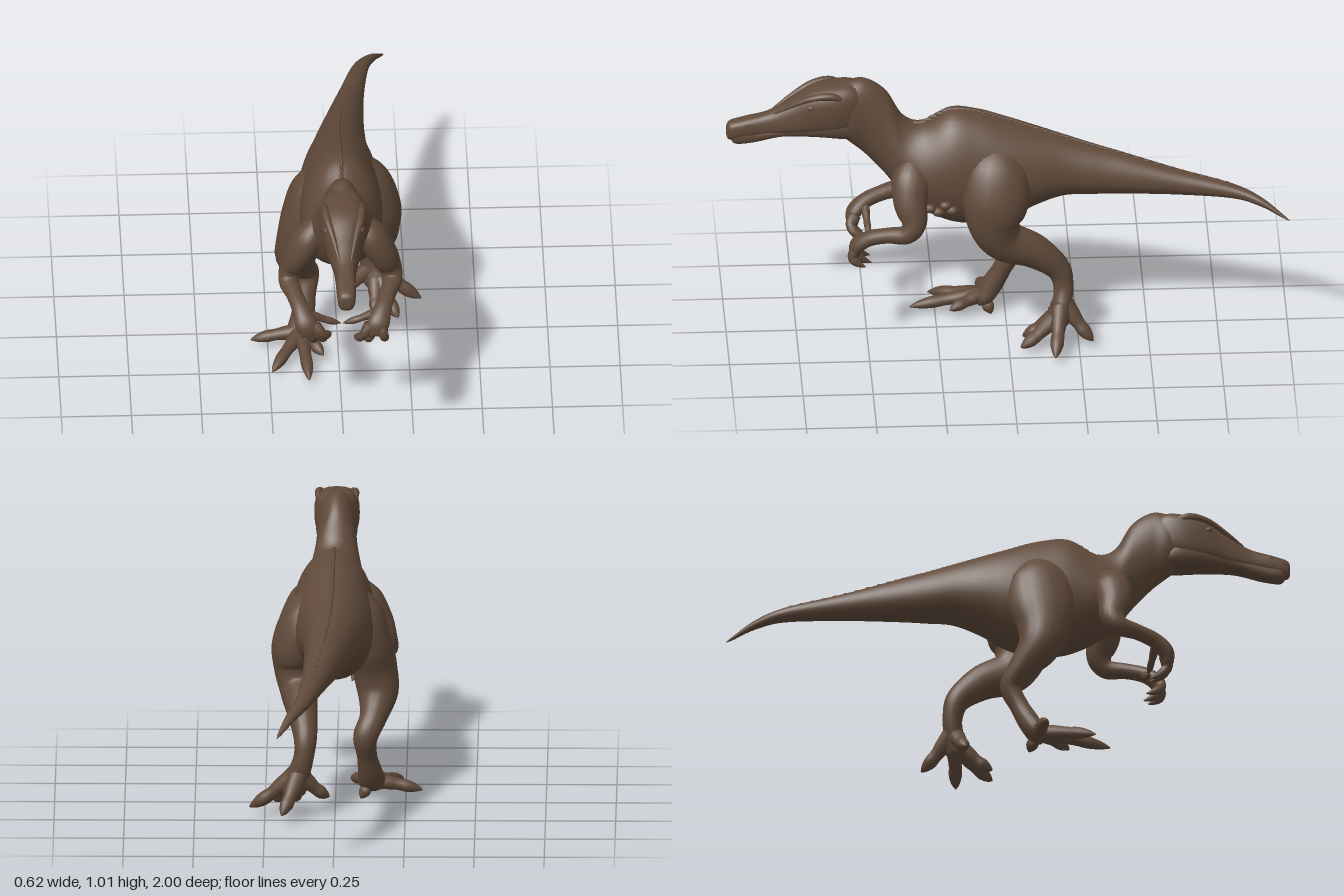
import * as THREE from 'three';

const hide = new THREE.MeshStandardMaterial({ color: 0x604a3a });
hide.name = 'brown hide';

// Smooth interpolation of rows [x, y, z, halfWidth, halfHeight, pear] at u in 0..1
function sample(rows, u) {
  const f = Math.min(u, 0.99999) * (rows.length - 1), i = Math.floor(f), t = f - i;
  const row = k => rows[Math.max(0, Math.min(rows.length - 1, k))];
  return rows[0].map((_, c) => {
    const [a, b, d, e] = [row(i - 1)[c], row(i)[c], row(i + 1)[c], row(i + 2)[c]];
    const v = b + 0.5 * t * (d - a + t * (2 * a - 5 * b + 4 * d - e + t * (3 * (b - d) + e - a)));
    return c > 2 && c < 5 ? Math.max(v, 0.001) : v;
  });
}

// Closed skin over oval rings; upright rings face -z, others follow the path
function skin(name, rows, { upright = false, ref = [1, 0, 0], sides = 20, per = 6, square = 1 } = {}) {
  const n = (rows.length - 1) * per, pos = [], index = [];
  const rings = Array.from({ length: n + 1 }, (_, i) => sample(rows, i / n));
  const centre = r => new THREE.Vector3(r[0], r[1], r[2]);
  const power = v => Math.sign(v) * Math.abs(v) ** square;
  [0, ...rings.keys(), n].forEach((k, i) => {
    const r = rings[k], size = i === 0 || i === n + 2 ? 0 : 1;
    const t = upright ? new THREE.Vector3(0, 0, -1)
      : centre(rings[Math.min(k + 1, n)]).sub(centre(rings[Math.max(k - 1, 0)])).normalize();
    const s = new THREE.Vector3(...ref);
    s.addScaledVector(t, -s.dot(t)).normalize();
    const up = s.clone().cross(t);
    for (let j = 0; j < sides; j++) {
      const a = j / sides * Math.PI * 2, c = power(Math.cos(a)), q = power(Math.sin(a));
      const p = centre(r).addScaledVector(s, size * c * r[3] * (1 - (r[5] || 0) * q))
        .addScaledVector(up, size * q * r[4]);
      pos.push(p.x, p.y, p.z);
    }
  });
  for (let i = 0; i < n + 2; i++) for (let j = 0; j < sides; j++) {
    const a = i * sides + j, b = i * sides + (j + 1) % sides;
    index.push(a, a + sides, b, b, a + sides, b + sides);
  }
  const g = new THREE.BufferGeometry();
  g.setAttribute('position', new THREE.Float32BufferAttribute(pos, 3));
  g.setIndex(index);
  g.computeVertexNormals();
  const mesh = new THREE.Mesh(g, hide);
  mesh.name = name;
  return mesh;
}

// Toe or finger ending in a pointed claw, bowed by [dy, dz]
function digit(name, from, to, r, bow) {
  const at = (t, b, k) => [...from.map((v, c) => v + (to[c] - v) * t + (c ? bow[c - 1] * b : 0)), r * k, r * k];
  return skin(name, [at(0, 0, 1.1), at(0.3, 0.7, 0.95), at(0.5, 1, 0.78), at(0.7, 0.9, 0.8),
    at(0.88, 0.5, 0.5), at(1, 0, 0.08)], { ref: [0.3, 1, 0.2], sides: 10, per: 4 });
}

function blob(name, x, y, z, sx, sy, sz) {
  const m = new THREE.Mesh(new THREE.SphereGeometry(1, 12, 8), hide);
  m.name = name;
  m.position.set(x, y, z);
  m.scale.set(sx, sy, sz);
  return m;
}

function group(name, ...parts) {
  const g = new THREE.Group();
  g.name = name;
  if (parts.length) g.add(...parts);
  return g;
}

export function createModel() {
  const model = group('dinosaur');

  // Neck, trunk and curved tail
  const trunk = [
    [0, 0.90, 0.64, 0.055, 0.07, 0], [0, 0.885, 0.56, 0.074, 0.12, 0], [0, 0.86, 0.50, 0.07, 0.15, 0],
    [0, 0.795, 0.43, 0.08, 0.165, 0.15], [0.003, 0.705, 0.37, 0.108, 0.155, 0.18], [0.006, 0.667, 0.30, 0.136, 0.167, 0.15],
    [0.008, 0.668, 0.20, 0.147, 0.217, 0.1], [0.008, 0.657, 0.10, 0.147, 0.217, 0.1], [0.008, 0.648, 0, 0.145, 0.192, 0.1],
    [0.01, 0.657, -0.10, 0.125, 0.148, 0.1], [0.015, 0.658, -0.20, 0.10, 0.113, 0.1],
    [0.025, 0.645, -0.30, 0.085, 0.094, 0.1], [0.038, 0.633, -0.40, 0.071, 0.078, 0.1],
    [0.07, 0.607, -0.60, 0.047, 0.048, 0], [0.11, 0.584, -0.80, 0.03, 0.026, 0],
    [0.15, 0.558, -0.90, 0.02, 0.017, 0], [0.188, 0.519, -0.975, 0.008, 0.007, 0], [0.2, 0.505, -1, 0.001, 0.001, 0]];
  model.add(skin('trunkAndTail', trunk, { upright: true, sides: 40, per: 8 }));

  // Low uneven ridge of overlapping bumps along the spine
  const ridge = group('spineRidge');
  for (let i = 0; i < 50; i++) {
    const [x, y, z, , h] = sample(trunk, 0.28 + 0.53 * i / 49);
    const k = 1 - 0.6 * i / 49;
    ridge.add(blob('spineBump', x, y + h - 0.003, z, 0.008 * k, 0.009 * k, 0.026));
  }
  model.add(ridge);

  // Long narrow head with a separate lower jaw
  const slice = ([z, top, bottom, w, pear = 0]) => [0, (top + bottom) / 2, z, w, (top - bottom) / 2, pear];
  const head = group('head',
    skin('skullAndSnout', [[0.999, 0.835, 0.795, 0.014], [0.985, 0.852, 0.785, 0.03], [0.93, 0.867, 0.795, 0.035],
      [0.85, 0.888, 0.806, 0.037, 0.12], [0.77, 0.933, 0.808, 0.052, 0.12], [0.69, 0.983, 0.81, 0.073],
      [0.61, 1.0, 0.81, 0.081, -0.03], [0.54, 0.998, 0.83, 0.068], [0.48, 0.95, 0.86, 0.03]].map(slice),
    { upright: true, sides: 28, square: 0.72 }),
    skin('lowerJaw', [[0.985, 0.82, 0.785, 0.016], [0.965, 0.83, 0.766, 0.03], [0.9, 0.83, 0.772, 0.033],
      [0.8, 0.845, 0.795, 0.041], [0.68, 0.88, 0.795, 0.064], [0.58, 0.89, 0.785, 0.071],
      [0.5, 0.84, 0.78, 0.04]].map(slice), { upright: true, square: 0.85 }));
  for (const s of [1, -1]) {
    head.add(
      skin('browRidge', [[s * 0.022, 0.89, 0.83, 0.004, 0.004], [s * 0.04, 0.934, 0.76, 0.01, 0.009],
        [s * 0.059, 0.968, 0.69, 0.014, 0.012], [s * 0.067, 0.974, 0.62, 0.012, 0.014],
        [s * 0.06, 0.94, 0.56, 0.004, 0.006]], { sides: 10 }),
      blob('eye', s * 0.064, 0.93, 0.70, 0.01, 0.01, 0.014),
      blob('nostril', s * 0.029, 0.85, 0.925, 0.006, 0.006, 0.014));
  }
  model.add(head);

  // Arms, each with three curled fingers and an inward thumb claw
  const fingertips = {
    1: [[0.045, 0.325, 0.49], [0.085, 0.315, 0.485], [0.155, 0.335, 0.51]],
    '-1': [[-0.04, 0.35, 0.50], [-0.055, 0.322, 0.485], [-0.095, 0.318, 0.485]],
  };
  for (const s of [1, -1]) {
    const arm = group(s > 0 ? 'leftArm' : 'rightArm',
      skin('armAndPalm', [[0.075, 0.72, 0.33, 0.03, 0.04], [0.11, 0.66, 0.345, 0.056, 0.068],
        [0.15, 0.585, 0.35, 0.052, 0.06], [0.176, 0.52, 0.338, 0.042, 0.046], [0.184, 0.477, 0.365, 0.036, 0.035],
        [0.166, 0.465, 0.43, 0.03, 0.028], [0.146, 0.445, 0.495, 0.032, 0.027], [0.128, 0.41, 0.538, 0.04, 0.027],
        [0.117, 0.37, 0.548, 0.03, 0.018]].map(([x, ...r]) => [s * x, ...r])));
    for (const tip of fingertips[s])
      arm.add(digit('finger', [s * 0.085 + tip[0] * 0.35, 0.405, 0.538], tip, 0.021, [0, 0.033]));
    arm.add(digit('thumb', [s * 0.13, 0.435, 0.50], [s * 0.004, 0.38, 0.49], 0.016, [-0.004, 0]));
    model.add(arm);
  }

  // Striding legs: the left pushes off behind, the right is planted forward
  const leftLeg = group('leftLeg', skin('thighAndShin', [
    [0.06, 0.77, 0.03, 0.03, 0.05], [0.10, 0.69, 0.04, 0.08, 0.11], [0.136, 0.58, 0.045, 0.09, 0.12],
    [0.138, 0.49, 0.05, 0.082, 0.095], [0.13, 0.415, 0.01, 0.068, 0.078], [0.118, 0.365, -0.09, 0.055, 0.064],
    [0.106, 0.29, -0.175, 0.042, 0.046], [0.112, 0.22, -0.197, 0.036, 0.036], [0.132, 0.155, -0.19, 0.043, 0.036],
    [0.15, 0.105, -0.175, 0.05, 0.042], [0.16, 0.07, -0.16, 0.03, 0.025]]));
  for (const [from, tip] of [
    [[0.125, 0.155, -0.185], [0.02, 0.068, -0.16]], [[0.145, 0.115, -0.165], [0.14, 0.035, -0.05]],
    [[0.155, 0.115, -0.165], [0.22, 0.03, -0.04]], [[0.145, 0.155, -0.185], [0.305, 0.03, -0.16]],
    [[0.13, 0.16, -0.2], [0.19, 0.035, -0.30]]])
    leftLeg.add(digit('toe', from, tip, 0.03, [-0.008, 0]));

  const rightLeg = group('rightLeg', skin('thighAndShin', [
    [-0.055, 0.77, 0.06, 0.03, 0.05], [-0.09, 0.68, 0.08, 0.075, 0.11], [-0.12, 0.57, 0.09, 0.082, 0.12],
    [-0.14, 0.47, 0.095, 0.08, 0.095], [-0.15, 0.39, 0.075, 0.073, 0.075], [-0.135, 0.315, 0.02, 0.05, 0.05],
    [-0.107, 0.25, -0.018, 0.044, 0.038], [-0.112, 0.175, 0.012, 0.036, 0.034], [-0.122, 0.11, 0.045, 0.043, 0.038],
    [-0.13, 0.06, 0.075, 0.05, 0.034], [-0.13, 0.04, 0.1, 0.03, 0.02]]));
  for (const tip of [[-0.31, 0.03, 0.08], [-0.24, 0.02, 0.27], [-0.11, 0.03, 0.34], [-0.055, 0.04, 0.2], [-0.09, 0.005, 0.05]])
    rightLeg.add(digit('toe', [-0.13, 0.066, 0.08], tip, 0.027, [0.003, 0]));
  model.add(leftLeg, rightLeg);

  // Small cluster of lumps on the left flank
  model.add(group('flankLumps', ...[[0.56, 0.28], [0.545, 0.25], [0.57, 0.225], [0.55, 0.2]]
    .map(([y, z]) => blob('lump', 0.147, y, z, 0.018, 0.017, 0.022))));

  return model;
}
